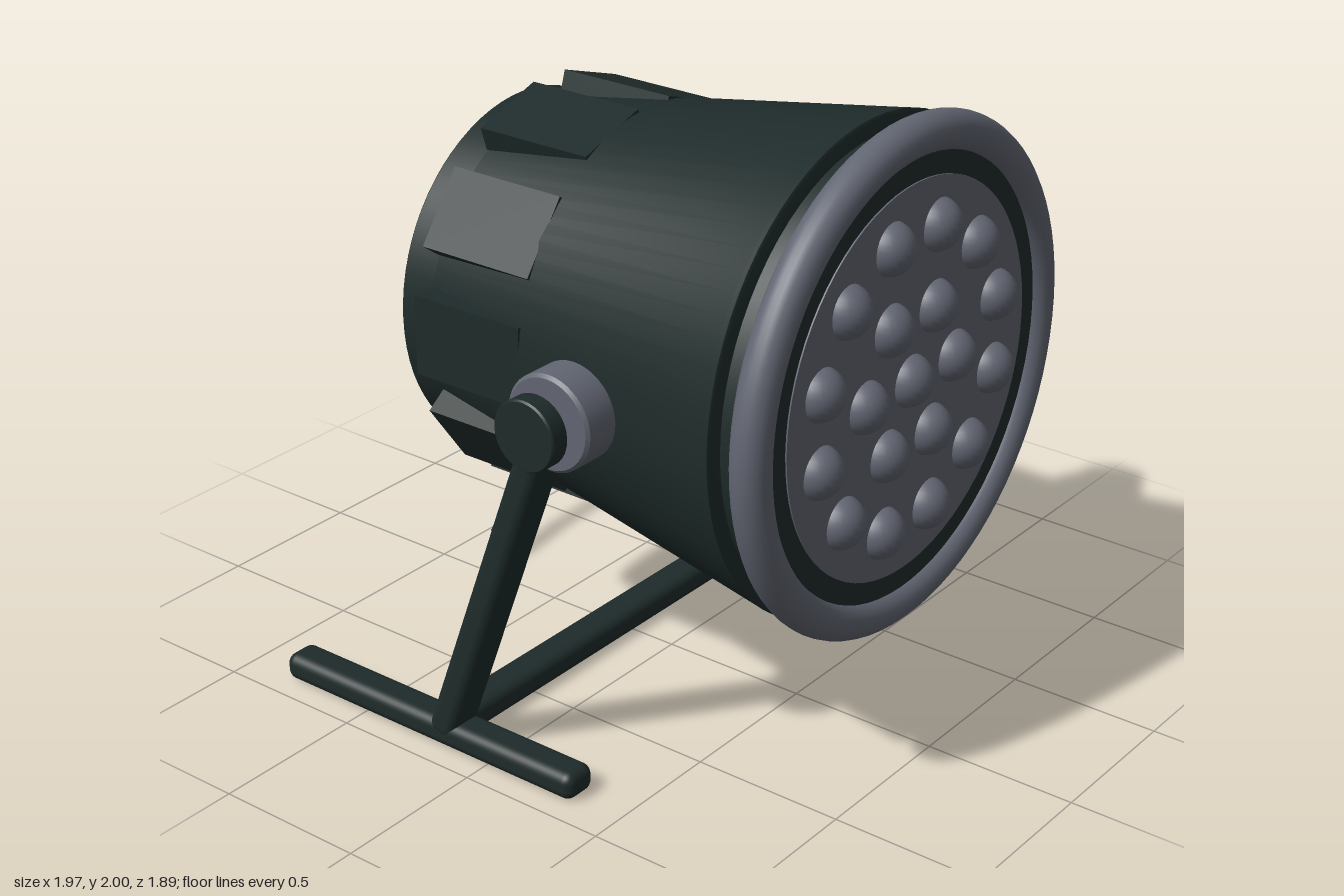
import * as THREE from 'three';
import { toCreasedNormals } from 'three/addons/utils/BufferGeometryUtils.js';
import { RoundedBoxGeometry } from 'three/addons/geometries/RoundedBoxGeometry.js';

export function createModel() {
  const model = new THREE.Group();
  model.name = 'stageLight';
  const dark = new THREE.MeshStandardMaterial({ color: 0x1e2b2a });
  dark.name = 'dark housing';
  const grey = new THREE.MeshStandardMaterial({ color: 0x626672 });
  grey.name = 'grey trim';
  const AXIS = 1.2; // height of the lamp axis

  const add = (name, geometry, material, x = 0, y = 0, z = 0, parent = model) => {
    const mesh = new THREE.Mesh(geometry, material);
    mesh.name = name;
    mesh.position.set(x, y, z);
    parent.add(mesh);
    return mesh;
  };
  // Turned part: [radius, position along axis], axis along +z
  const turned = (profile, segments = 72) => toCreasedNormals(
    new THREE.LatheGeometry(profile.map(p => new THREE.Vector2(...p)), segments).rotateX(Math.PI / 2), 0.5);

  // Lamp head
  const head = new THREE.Group();
  head.name = 'lampHead';
  head.position.y = AXIS;
  model.add(head);

  add('housing', turned([
    [0, -0.6], [0.565, -0.6], [0.575, -0.59], [0.575, -0.475], [0.575, -0.47],
    [0.772, 0.71], [0.775, 0.725], [0.765, 0.73], [0.72, 0.73], [0.72, 0.85], [0, 0.85],
  ]), dark, 0, 0, 0, head);
  add('frontRing', new THREE.TorusGeometry(0.74, 0.06, 20, 80), grey, 0, 0, 0.85, head);
  add('innerRim', turned([[0.69, 0.84], [0.685, 0.875], [0.61, 0.875], [0.61, 0.84]]), dark, 0, 0, 0, head);
  add('lensPlate', turned([[0.615, 0.84], [0.615, 0.88], [0, 0.88]]), grey, 0, 0, 0, head);

  // Lenses: one centre, a ring of six, a ring of twelve
  const lensGeo = new THREE.SphereGeometry(0.083, 24, 16);
  for (const [count, radius, offset] of [[1, 0, 0], [6, 0.23, 0], [12, 0.466, Math.PI / 12]]) {
    for (let i = 0; i < count; i++) {
      const a = offset + i / count * Math.PI * 2;
      add('lens', lensGeo, grey, Math.cos(a) * radius, Math.sin(a) * radius, 0.865, head);
    }
  }

  // Ten cooling ribs around the rear of the cone
  const ribGeo = new THREE.BoxGeometry(0.14, 0.26, 0.41);
  for (let i = 0; i < 10; i++) {
    const a = i * Math.PI / 5;
    const rib = add('coolingRib', ribGeo, dark, Math.cos(a) * 0.57, Math.sin(a) * 0.57, -0.273, head);
    rib.rotation.z = a;
  }

  // Rear control panel
  add('displayPanel', new RoundedBoxGeometry(0.42, 0.21, 0.05, 2, 0.008), dark, 0, 1.345, -0.603);
  const buttonGeo = new THREE.CylinderGeometry(0.03, 0.03, 0.03, 20).rotateX(Math.PI / 2);
  for (let i = 0; i < 4; i++) add('button', buttonGeo, dark, -0.21 + i * 0.14, 1.1, -0.638);

  // Power cable
  const cablePath = new THREE.CatmullRomCurve3([
    [0.28, 1.05, -0.57], [0.45, 0.95, -0.7], [0.58, 0.83, -0.81], [0.622, 0.68, -0.88],
    [0.575, 0.52, -0.915], [0.45, 0.34, -0.91], [0.28, 0.2, -0.875], [0.08, 0.11, -0.82],
  ].map(p => new THREE.Vector3(...p)));
  add('cable', new THREE.TubeGeometry(cablePath, 60, 0.025, 12), dark);
  const endCap = add('cableEnd', new THREE.CircleGeometry(0.025, 12), dark, 0.08, 0.11, -0.82);
  endCap.quaternion.setFromUnitVectors(new THREE.Vector3(0, 0, 1), cablePath.getTangent(1));

  // Stand: pivots, arms and feet on both sides
  const hubGeo = turned([[0, -0.065], [0.14, -0.065], [0.15, -0.055], [0.15, 0.055], [0.14, 0.065], [0, 0.065]], 40);
  const knobGeo = turned([[0, -0.033], [0.105, -0.033], [0.11, -0.027], [0.11, 0.027], [0.105, 0.033], [0, 0.033]], 32);
  const boltGeo = new THREE.CylinderGeometry(0.055, 0.055, 0.26, 20).rotateX(Math.PI / 2);
  const armGeo = new RoundedBoxGeometry(0.13, 1.27, 0.1, 4, 0.035);
  const footGeo = new RoundedBoxGeometry(0.12, 0.09, 1.18, 4, 0.035);
  for (const side of [1, -1]) {
    const pivot = new THREE.Group();
    pivot.name = side > 0 ? 'leftPivot' : 'rightPivot';
    pivot.position.set(0, AXIS + 0.005, 0.243);
    model.add(pivot);
    add('hub', hubGeo, grey, side * 0.815, 0, 0, pivot).rotation.y = Math.PI / 2;
    add('bolt', boltGeo, dark, side * 0.82, 0, 0, pivot).rotation.y = Math.PI / 2;
    add('knob', knobGeo, dark, side * 0.95, 0, 0, pivot).rotation.y = Math.PI / 2;
    const arm = add('standArm', armGeo, dark, side * 0.864, 0.635, 0.032);
    arm.rotation.x = Math.atan2(0.42, 1.15);
    add('foot', footGeo, dark, side * 0.866, 0.045, -0.25);
  }
  add('crossbar', new RoundedBoxGeometry(1.8, 0.09, 0.12, 4, 0.035), dark, 0, 0.045, -0.2);

  return model;
}
